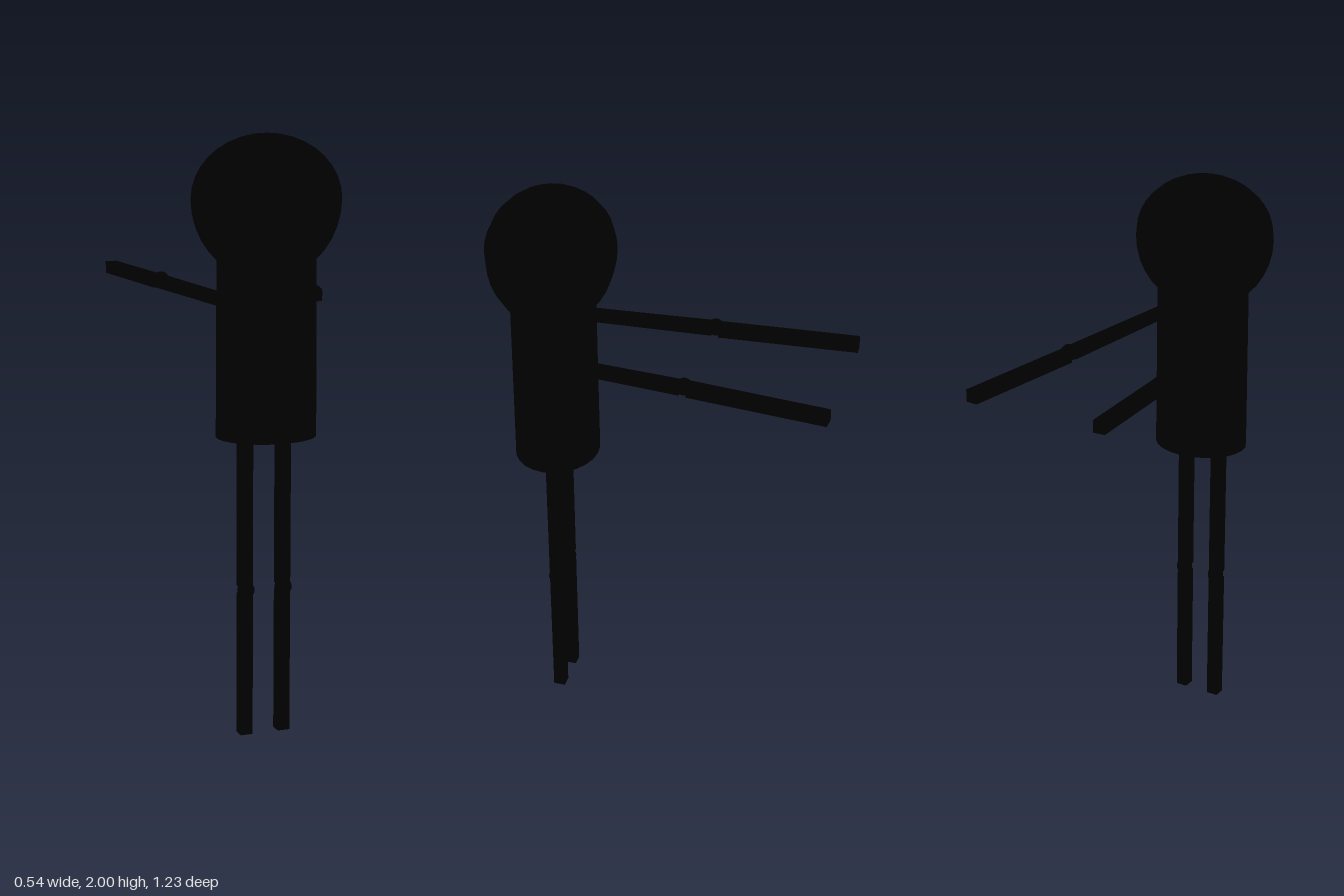
import * as THREE from 'three';

const material = new THREE.MeshStandardMaterial({ color: 0x000000 });
const Z = 0.395; // depth of the upright body axis
const X = -0.023; // sideways centre of the body

export function createModel() {
  const model = new THREE.Group();

  function add(name, geometry, position, parent = model) {
    const mesh = new THREE.Mesh(geometry, material);
    mesh.name = name;
    mesh.position.set(...position);
    parent.add(mesh);
    return mesh;
  }

  // Square bar running from a to b; startWidth narrows its first end sideways
  function bar(name, a, b, size, startWidth, parent) {
    const from = new THREE.Vector3(...a);
    const to = new THREE.Vector3(...b);
    const geometry = new THREE.BoxGeometry(size, size, from.distanceTo(to));
    const p = geometry.attributes.position;
    for (let i = 0; i < p.count; i++) {
      if (p.getZ(i) < 0) p.setX(i, Math.sign(p.getX(i)) * startWidth / 2);
    }
    geometry.computeVertexNormals();
    const mesh = add(name, geometry, from.clone().add(to).multiplyScalar(0.5).toArray(), parent);
    mesh.lookAt(to);
  }

  function joint(name, position, parent) {
    add(name, new THREE.SphereGeometry(0.029, 16, 12), position, parent);
  }

  // Head: egg-shaped, with the narrow end sunk into the torso
  const profile = [];
  for (let i = 0; i <= 18; i++) {
    const t = -Math.PI / 2 + (i / 18) * Math.PI;
    const height = Math.sin(t) < 0 ? 0.262 : 0.21;
    profile.push(new THREE.Vector2(Math.max(Math.cos(t), 0), Math.sin(t) * height));
  }
  const head = add('head', new THREE.LatheGeometry(profile, 20), [-0.025, 1.79, 0.397]);
  head.scale.set(0.247, 1, 0.218);

  // Torso: oval cylinder
  const torso = add('torso', new THREE.CylinderGeometry(0.98, 1, 0.6, 24), [X, 1.315, Z]);
  torso.scale.set(0.168, 1, 0.146);

  // Legs: two straight bars with ball joints
  for (const [side, x] of [['right', -0.097], ['left', 0.036]]) {
    const leg = new THREE.Group();
    leg.name = side + 'Leg';
    model.add(leg);
    bar('thigh', [x, 1.0, Z], [x, 0.51, Z], 0.042, 0.042, leg);
    bar('shin', [x, 0.485, Z], [x, 0, Z], 0.042, 0.042, leg);
    joint('hip', [x + 0.004, 1.01, Z], leg);
    joint('knee', [x + 0.004, 0.497, Z], leg);
  }

  // Arms: reaching straight backwards and spreading slightly
  const arms = [
    ['right', -0.18, -0.21, -0.239],
    ['left', 0.155, 0.197, 0.246],
  ];
  for (const [side, shoulderX, elbowX, handX] of arms) {
    const arm = new THREE.Group();
    arm.name = side + 'Arm';
    model.add(arm);
    bar('upperArm', [shoulderX, 1.472, 0.4], [elbowX, 1.472, -0.11], 0.04, 0.028, arm);
    bar('forearm', [elbowX, 1.47, -0.135], [handX, 1.47, -0.612], 0.042, 0.042, arm);
    joint('elbow', [elbowX, 1.477, -0.122], arm);
    joint('shoulder', [shoulderX * 0.92, 1.477, Z], arm);
  }

  return model;
}
